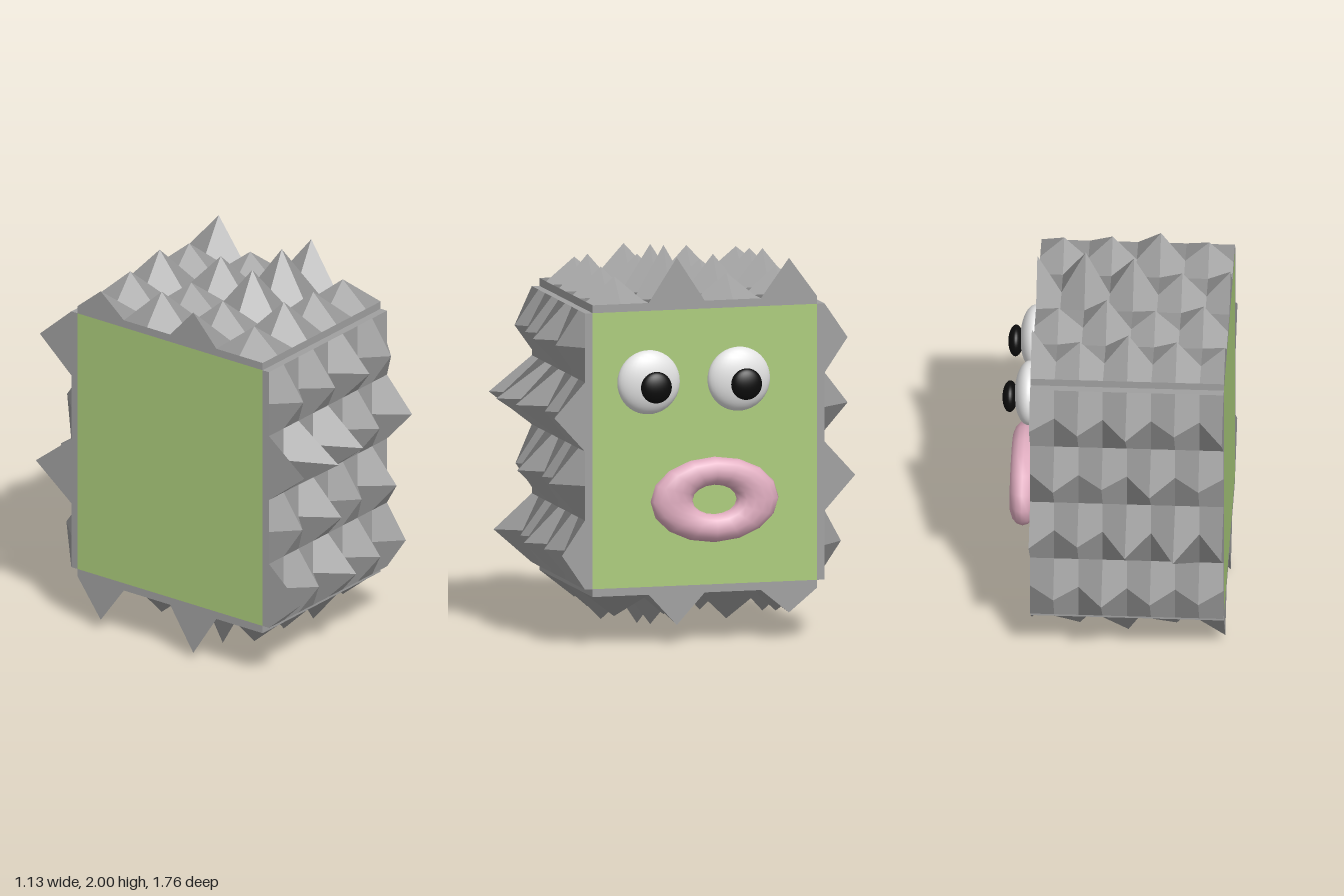
import * as THREE from 'three';

const mat = (name, color) => {
  const m = new THREE.MeshStandardMaterial({ color });
  m.name = name;
  return m;
};

// Peak heights of the staggered spike rows: odd columns, then even columns, and so on
const PEAKS = [
  [0.125, 0.14, 0.17, 0.12],
  [0.225, 0.255, 0.225, 0.14, 0.16],
  [0.12, 0.18, 0.12, 0.155],
  [0.2, 0.13, 0.18, 0.145, 0.12],
];
const N = 8, SLAB = 0.04;

function height(i, j) {
  if (j % 2 === 0) return 0;
  const row = (j - 1) / 2, even = row % 2 === 1;
  if ((i % 2 === 0) !== even) return 0;
  return PEAKS[row][Math.floor(i / 2)];
}

// Slab with a spiky outer surface and closed sides; local y points outward
function spikePanel(width, depth) {
  const pos = [], nor = [];
  const top = (i, j) => new THREE.Vector3((i / N - 0.5) * width, SLAB + height(i, j), (j / N - 0.5) * depth);
  const foot = (i, j) => top(i, j).setY(0);
  // One normal for each four-cornered facet
  const quad = (a, b, c, d) => {
    const n = c.clone().sub(a).cross(d.clone().sub(b)).normalize();
    for (const p of [a, b, c, a, c, d]) {
      pos.push(p.x, p.y, p.z);
      nor.push(n.x, n.y, n.z);
    }
  };
  for (let i = 0; i < N; i++) {
    for (let j = 0; j < N; j++) quad(top(i, j), top(i, j + 1), top(i + 1, j + 1), top(i + 1, j));
    quad(foot(i, N), foot(i + 1, N), top(i + 1, N), top(i, N));
    quad(foot(i + 1, 0), foot(i, 0), top(i, 0), top(i + 1, 0));
    quad(foot(0, i), foot(0, i + 1), top(0, i + 1), top(0, i));
    quad(foot(N, i + 1), foot(N, i), top(N, i), top(N, i + 1));
  }
  const g = new THREE.BufferGeometry();
  g.setAttribute('position', new THREE.Float32BufferAttribute(pos, 3));
  g.setAttribute('normal', new THREE.Float32BufferAttribute(nor, 3));
  return g;
}

export function createModel() {
  const model = new THREE.Group();
  model.name = 'spikyBlockCreature';
  const green = mat('green', 0xabcc7b);
  const grey = mat('grey', 0xa0a0a0);
  const pink = mat('pink', 0xe0adc0);
  const white = mat('white', 0xe4e4e4);
  const black = mat('black', 0x0c0c0c);

  const add = (name, geometry, material, x, y, z) => {
    const m = new THREE.Mesh(geometry, material);
    m.name = name;
    m.position.set(x, y, z);
    model.add(m);
    return m;
  };

  // Green block
  const W = 0.975, H = 1.405, D = 1.175, cx = -0.0825, cy = 1.0025;
  add('body', new THREE.BoxGeometry(W, H, D), green, cx, cy, 0);

  // Spiky panels on four sides
  const flat = spikePanel(W, D), upright = spikePanel(W, H);
  add('topSpikes', flat, grey, cx, cy + H / 2, 0).rotation.y = Math.PI;
  add('bottomSpikes', flat, grey, cx, cy - H / 2, 0).rotation.x = Math.PI;
  add('frontSpikes', upright, grey, cx, cy, D / 2).rotation.x = Math.PI / 2;
  add('backSpikes', upright, grey, cx, cy, -D / 2).rotation.x = -Math.PI / 2;

  // Face on the +x side: flattened eyes and pupils
  const ball = new THREE.SphereGeometry(1, 32, 20);
  for (const [side, z, x] of [['left', -0.17, 0.432], ['right', 0.3, 0.425]]) {
    add(side + 'Eye', ball, white, x, 1.345, z).scale.set(0.073, 0.163, 0.163);
    add(side + 'Pupil', ball, black, x + 0.095, 1.33, z - 0.014).scale.set(0.038, 0.08, 0.08);
  }

  // Oval ring mouth
  const ring = new THREE.TorusGeometry(0.225, 0.11, 14, 16);
  ring.rotateY(Math.PI / 2);
  add('mouth', ring, pink, 0.461, 0.74, -0.035).scale.set(0.6, 0.65, 1);

  return model;
}
